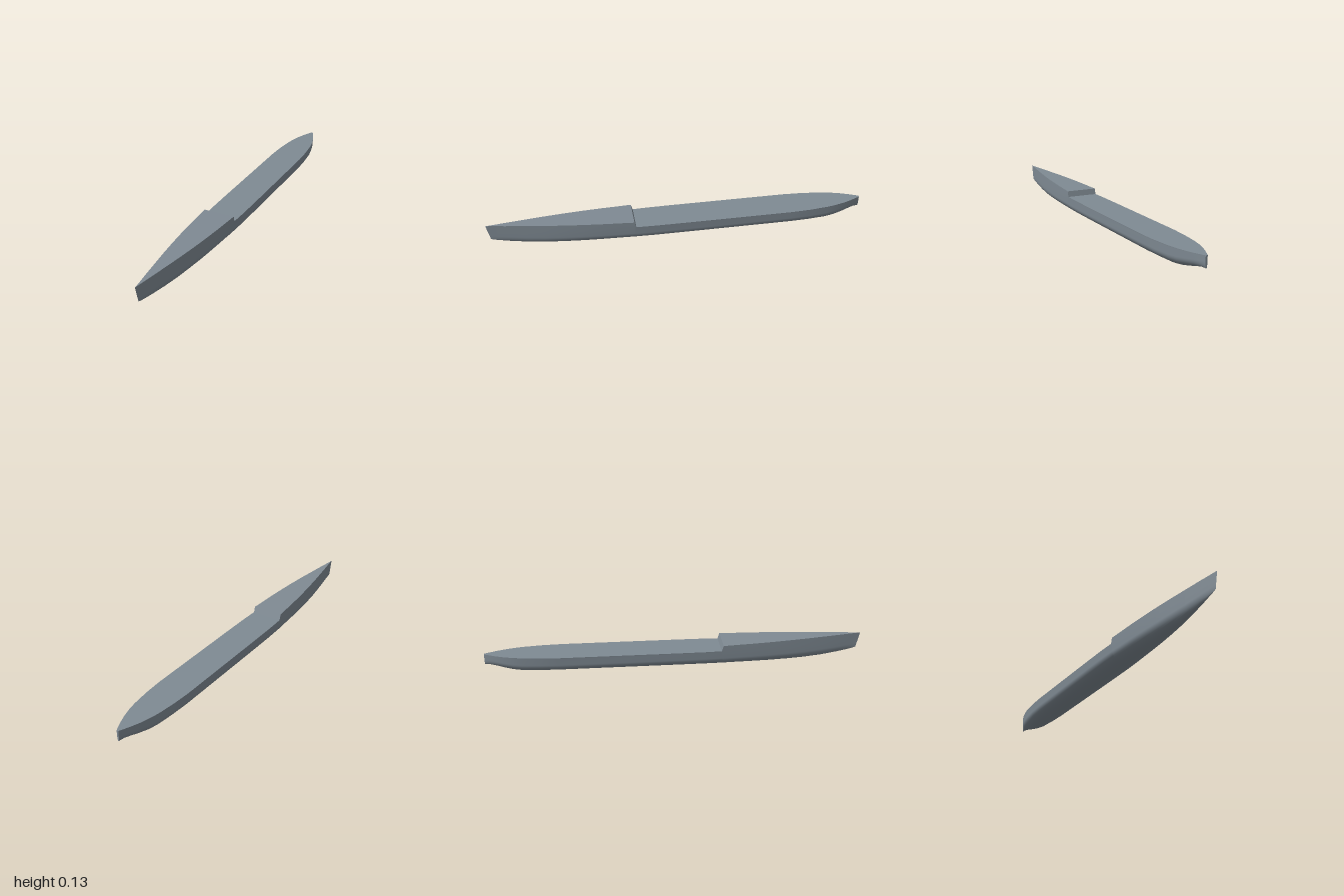
import * as THREE from 'three';

// Stations from bow to stern: z, half width at the deck, keel height
const STATIONS = [
  [1, 0, 0.05], [0.985, 0.002, 0.044], [0.95, 0.007, 0.036], [0.9, 0.015, 0.027],
  [0.8, 0.029, 0.014], [0.7, 0.043, 0.006], [0.6, 0.055, 0.002], [0.5, 0.065, 0],
  [0.4, 0.073, 0], [0.3, 0.079, 0], [0.245, 0.083, 0], [0.236, 0.083, 0],
  [0.15, 0.086, 0], [0, 0.087, 0], [-0.6, 0.087, 0], [-0.7, 0.082, 0],
  [-0.8, 0.071, 0.001], [-0.85, 0.061, 0.007], [-0.9, 0.047, 0.018],
  [-0.94, 0.032, 0.028], [-0.97, 0.019, 0.034], [-1, 0.005, 0.035],
];
const LOW_DECK = 0.093;
const ARC = 10;

// One cross-section, from the left deck edge under the keel to the right deck edge
function section([z, w, keel]) {
  const deck = z > 0.24 ? 0.123 + (0.01 * (z - 0.245)) / 0.755 : LOW_DECK;
  const chine = keel + 0.55 * (LOW_DECK - keel);
  const half = [[w, deck], [w * 0.99, LOW_DECK - 0.006]];
  for (let i = 0; i <= ARC; i++) {
    const a = (i / ARC) * Math.PI / 2;
    half.push([w * 0.965 * Math.cos(a), chine - (chine - keel) * Math.sin(a)]);
  }
  const mirrored = half.slice(0, -1).reverse().map(([x, y]) => [-x, y]);
  // The stem rakes back towards the keel
  const rake = 0.22 * THREE.MathUtils.smoothstep(z, 0.7, 1);
  return half.concat(mirrored).map(([x, y]) => new THREE.Vector3(x, y, z - rake * (deck - y)));
}

function mesh(name, points, index, material, flat) {
  let geometry = new THREE.BufferGeometry().setFromPoints(points);
  geometry.setIndex(index);
  if (flat) geometry = geometry.toNonIndexed();
  geometry.computeVertexNormals();
  const m = new THREE.Mesh(geometry, material);
  m.name = name;
  return m;
}

export function createModel() {
  const model = new THREE.Group();
  model.name = 'shipHull';
  const paint = new THREE.MeshStandardMaterial({ color: 0x7f8a93 });
  paint.name = 'hullGrey';

  const rings = STATIONS.map(section);
  const n = rings[0].length;

  // Smooth shell
  const shell = [];
  for (let i = 0; i < rings.length - 1; i++) {
    for (let j = 0; j < n - 1; j++) {
      const a = i * n + j, c = a + n;
      shell.push(a, a + 1, c, a + 1, c + 1, c);
    }
  }
  model.add(mesh('hullShell', rings.flat(), shell, paint, false));

  // Raised foredeck, step and main deck
  const edges = rings.flatMap((r) => [r[0], r[n - 1]]);
  const deck = [];
  for (let i = 0; i < rings.length - 1; i++) {
    const l = i * 2;
    deck.push(l, l + 2, l + 1, l + 1, l + 2, l + 3);
  }
  model.add(mesh('deck', edges, deck, paint, true));

  // Flat transom closing the stern
  const transom = [];
  for (let j = 1; j < n - 1; j++) transom.push(0, j, j + 1);
  model.add(mesh('transom', rings[rings.length - 1], transom, paint, true));

  return model;
}
